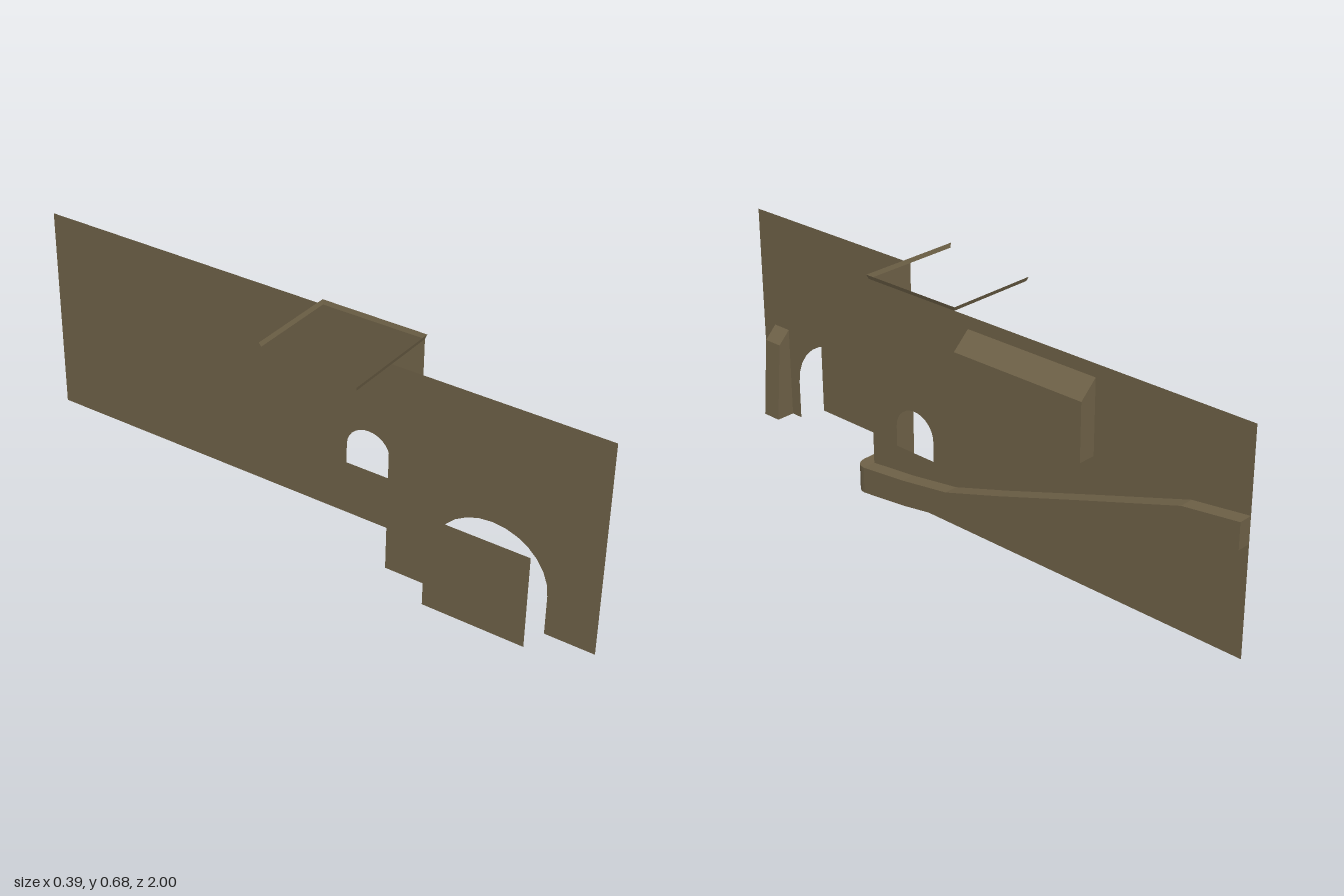
import * as THREE from 'three';

const HEIGHT = 0.667;
const FRONT_X = -0.025; // gate wall plane
const BACK_X = 0.14; // long wall plane
const CORNER_Z = 0.335; // plane of the return wall

export function createModel() {
  const model = new THREE.Group();
  const stone = new THREE.MeshStandardMaterial({ color: 0x6e6147, side: THREE.DoubleSide, flatShading: true });

  const add = (name, geometry) => {
    const mesh = new THREE.Mesh(geometry, stone);
    mesh.name = name;
    model.add(mesh);
    return mesh;
  };

  // Quad strip through matching rows of points
  const loft = (rows, caps = false) => {
    const pos = [];
    const quad = (a, b, c, d) => pos.push(...a, ...b, ...c, ...a, ...c, ...d);
    for (let i = 0; i < rows.length - 1; i++) {
      const r = rows[i], s = rows[i + 1], n = r.length;
      for (let j = 0; j < (caps ? n : n - 1); j++) {
        const k = (j + 1) % n;
        quad(r[j], s[j], s[k], r[k]);
      }
    }
    if (caps) {
      quad(...rows[0]);
      quad(...[...rows[rows.length - 1]].reverse());
    }
    const g = new THREE.BufferGeometry();
    g.setAttribute('position', new THREE.Float32BufferAttribute(pos, 3));
    g.computeVertexNormals();
    return g;
  };

  // Arched outline in (-z, y): straight jambs, elliptical head
  const archPoints = (z, halfWidth, bottom, spring, top) => {
    const pts = [new THREE.Vector2(-z - halfWidth, bottom)];
    for (let i = 0; i <= 14; i++) {
      const a = Math.PI * (1 - i / 14);
      pts.push(new THREE.Vector2(-z + halfWidth * Math.cos(a), spring + (top - spring) * Math.sin(a)));
    }
    pts.push(new THREE.Vector2(-z + halfWidth, bottom));
    return pts;
  };

  // Thin panel facing +x
  const sidePanel = (name, shape, x) => {
    const g = new THREE.ShapeGeometry(shape);
    g.rotateY(Math.PI / 2);
    g.translate(x, 0, 0);
    return add(name, g);
  };

  // Gate wall, its outline running around the arch
  sidePanel('gateWall', new THREE.Shape([
    new THREE.Vector2(-1, 0),
    ...archPoints(0.666, 0.18, 0, 0.125, 0.294),
    new THREE.Vector2(-CORNER_Z, 0),
    new THREE.Vector2(-CORNER_Z, HEIGHT),
    new THREE.Vector2(-1, HEIGHT),
  ]), FRONT_X);

  // Door slab set back behind the arch
  const door = new THREE.PlaneGeometry(0.32, 0.293);
  door.rotateY(Math.PI / 2);
  door.translate(-0.107, 0.1465, 0.669);
  add('door', door);

  // Long wall with an arched window
  const longWall = new THREE.Shape([
    new THREE.Vector2(-CORNER_Z, 0),
    new THREE.Vector2(1, 0),
    new THREE.Vector2(1, HEIGHT),
    new THREE.Vector2(-CORNER_Z, HEIGHT),
  ]);
  longWall.holes.push(new THREE.Path(archPoints(0.162, 0.074, 0.174, 0.238, 0.308)));
  sidePanel('longWall', longWall, BACK_X);

  // Return wall joining the two
  const returnWall = new THREE.PlaneGeometry(BACK_X - FRONT_X, HEIGHT);
  returnWall.translate((BACK_X + FRONT_X) / 2, HEIGHT / 2, CORNER_Z);
  add('returnWall', returnWall);

  // Flared rim along three sides of the tower top
  const top = 0.68;
  add('towerRim', loft([
    [[-0.19, HEIGHT, CORNER_Z], [-0.197, top, 0.339]],
    [[BACK_X, HEIGHT, CORNER_Z], [0.145, top, 0.339]],
    [[BACK_X, HEIGHT, 0], [0.145, top, -0.005]],
    [[-0.15, HEIGHT, 0], [-0.155, top, -0.005]],
  ]));

  // Profile in (x, y) extruded from z0 to z1
  const prism = (name, profile, z0, z1) => {
    const shape = new THREE.Shape(profile.map(([x, y]) => new THREE.Vector2(x, y)));
    const g = new THREE.ExtrudeGeometry(shape, { depth: z1 - z0, bevelEnabled: false });
    g.translate(0, 0, z0);
    return add(name, g);
  };

  // Tapered buttresses either side of the gate
  const buttress = [[FRONT_X, 0], [0.037, 0], [0.016, 0.252], [FRONT_X, 0.292]];
  prism('innerButtress', buttress, 0.385, 0.437);
  prism('outerButtress', buttress, 0.886, 0.95);

  // Projecting bay with a sloped top
  prism('bay', [[BACK_X, 0.402], [0.195, 0.402], [0.195, 0.578], [BACK_X, 0.628]], -0.5, -0.05);

  // Ledge: level around the rounded corner, then climbing along the long wall
  const outerX = 0.183, outerZ = 0.375, radius = 0.04;
  const section = (ix, iz, ox, oz, low, high) =>
    [[ix, low, iz], [ox, low, oz], [ox, high, oz], [ix, high, iz]];
  const rows = [section(FRONT_X, CORNER_Z, FRONT_X, outerZ, 0, 0.083)];
  for (let i = 0; i <= 6; i++) {
    const a = (Math.PI / 2) * (1 - i / 6);
    rows.push(section(BACK_X, CORNER_Z,
      outerX - radius + radius * Math.cos(a), outerZ - radius + radius * Math.sin(a), 0, 0.083));
  }
  for (const [z, low, high] of [
    [0.17, 0.018, 0.1], [0, 0.045, 0.125], [-0.2, 0.108, 0.188],
    [-0.5, 0.208, 0.288], [-0.82, 0.313, 0.393], [-1, 0.337, 0.416],
  ]) rows.push(section(BACK_X, z, outerX, z, low, high));
  add('climbingLedge', loft(rows, true));

  return model;
}
